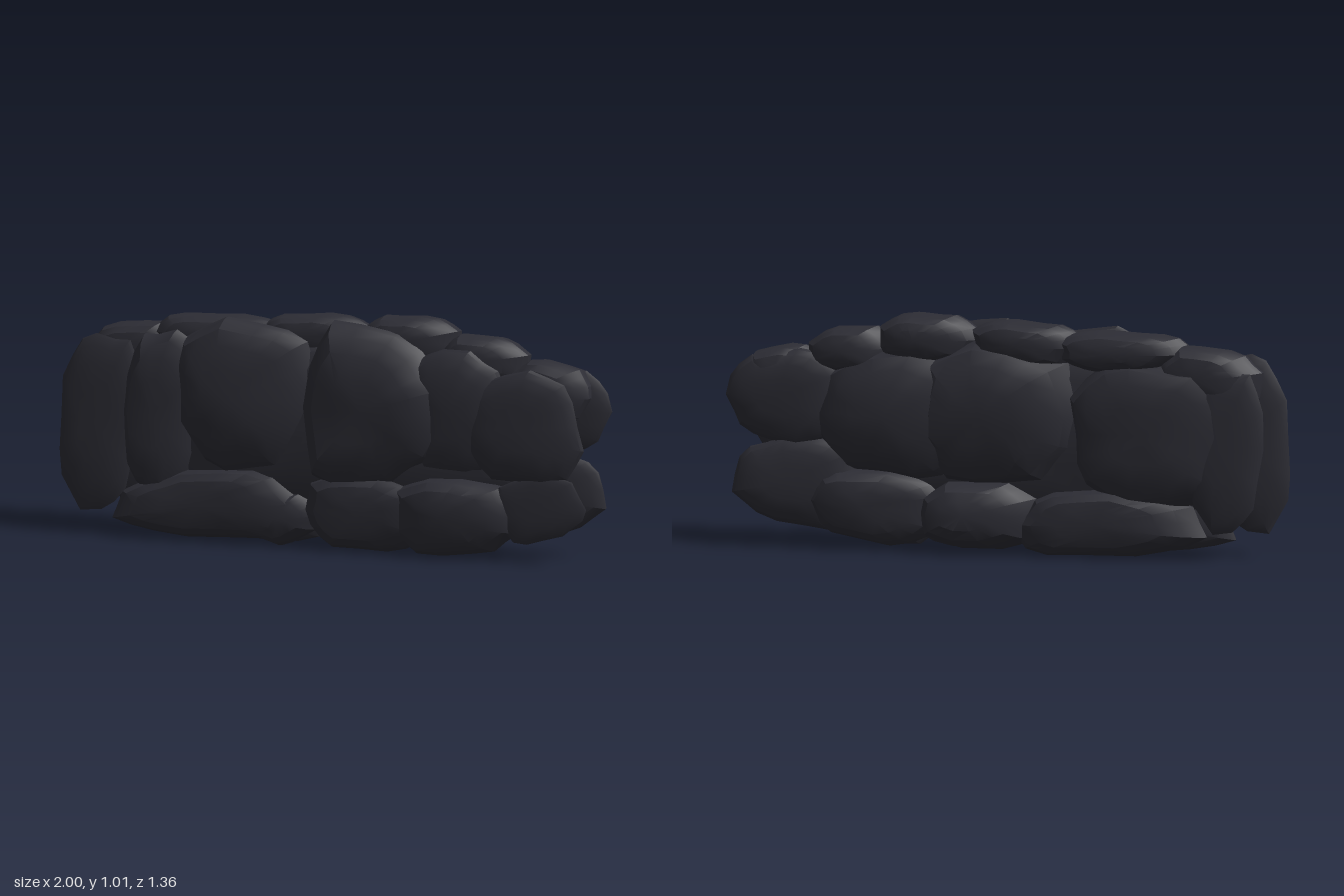
import * as THREE from 'three';
import { toCreasedNormals } from 'three/addons/utils/BufferGeometryUtils.js';

const SLOPE = -0.59; // the wall runs diagonally: z = SLOPE * x + depth
const SIDES = 18;
const rock = new THREE.MeshStandardMaterial({ color: 0x2d2d35 });
rock.name = 'dark slate';

// Cross-sections of a stone from back to front: [outline scale, share of bulge]
const HALF = [[0, 1], [0.4, 0.97], [0.68, 0.83], [0.87, 0.54], [0.97, 0.2]];
const RINGS = [...HALF.map(([s, h]) => [s, -h]), [1, 0], ...HALF.slice().reverse()];

// Irregular outline point at angle t; slim shrinks the height to the right, narrow the width upwards
function outlinePoint(t, [, , rx, ry, tilt, slim, narrow], seed) {
  const c = Math.cos(t), s = Math.sin(t);
  const u = Math.sign(c) * Math.abs(c) ** 0.78, v = Math.sign(s) * Math.abs(s) ** 0.78;
  const wobble = 1 + 0.035 * Math.sin(3 * t + seed) + 0.04 * Math.sin(7 * t + 2 * seed);
  const x = rx * u * wobble * (1 - narrow * v), y = ry * v * wobble * (1 - slim * u);
  return [x * Math.cos(tilt) - y * Math.sin(tilt), x * Math.sin(tilt) + y * Math.cos(tilt)];
}

// A flat stone with the depth of its rim and its bulge to front and back
function stone(name, shape, rim, front, back) {
  const [cx, cy] = shape;
  const seed = cx * 17 + cy * 29;
  const pos = [], index = [];
  RINGS.forEach(([scale, h], k) => {
    for (let j = 0; j < SIDES; j++) {
      const [px, py] = outlinePoint(j / SIDES * Math.PI * 2, shape, seed);
      const x = cx + px * scale, y = Math.max(0, cy + py * scale);
      // uneven, chipped surface
      const chip = 1 + 0.12 * Math.sin(9 * x + 6 * y + seed) * Math.cos(8 * y - 5 * x);
      pos.push(x, y, SLOPE * x + rim + h * (h > 0 ? front : back) * chip);
      if (k === RINGS.length - 1) continue;
      const a = k * SIDES + j, b = k * SIDES + (j + 1) % SIDES;
      const c = b + SIDES, d = a + SIDES;
      if (k > 0) index.push(a, b, c);
      if (k < RINGS.length - 2) index.push(a, c, d);
    }
  });
  const geo = new THREE.BufferGeometry();
  geo.setAttribute('position', new THREE.Float32BufferAttribute(pos, 3));
  geo.setIndex(index);
  const mesh = new THREE.Mesh(toCreasedNormals(geo, 0.4), rock);
  mesh.name = name;
  return mesh;
}

// Stones of each layer: x, y, half width, half height, tilt, slim, narrow, extra bulge
const FRONT = {
  frontCentreLeft: [-0.29, 0.64, 0.26, 0.33, 0, -0.05, -0.08, 0],
  frontCentreRight: [0.21, 0.62, 0.28, 0.345, 0, 0.25, 0, 0],
  frontLeftStrip: [-0.6, 0.55, 0.14, 0.36, -0.05, 0, 0, -0.01],
  frontFarLeft: [-0.83, 0.5, 0.15, 0.38, -0.08, -0.05, 0, 0],
  frontBottomLeft: [-0.42, 0.17, 0.36, 0.15, 0.08, -0.15, 0.1, 0],
  frontBottomWedge: [-0.14, 0.13, 0.13, 0.1, 0.5, 0, 0, -0.04],
  frontBottomCentre: [0.18, 0.18, 0.25, 0.17, 0, 0, -0.1, -0.02],
  frontBottomRight: [0.5, 0.19, 0.24, 0.17, 0.08, 0, 0, 0.01],
  frontRight: [0.77, 0.59, 0.22, 0.24, 0.1, 0, 0.1, 0.005],
  frontUpperRight: [0.51, 0.63, 0.19, 0.27, 0, 0, 0, -0.03],
  frontFarRight: [0.83, 0.25, 0.17, 0.14, 0.4, 0, 0, -0.01],
};
const BACK = {
  backCentreLeft: [0.36, 0.59, 0.31, 0.28, 0, 0.15, 0, 0],
  backCentreRight: [0, 0.6, 0.3, 0.31, 0, 0, 0, 0],
  backRight: [-0.58, 0.54, 0.31, 0.32, 0, 0, 0, 0],
  backFarLeft: [0.77, 0.65, 0.21, 0.2, 0, 0.1, 0, 0],
  backLowerLeft: [0.73, 0.29, 0.23, 0.19, 0.1, 0.1, 0, 0],
  backBottomLeft: [0.45, 0.2, 0.25, 0.16, 0.1, 0, 0, 0],
  backBottomCentre: [0.06, 0.18, 0.22, 0.15, 0, 0, 0.15, 0.01],
  backBottomRight: [-0.4, 0.155, 0.34, 0.145, -0.05, 0, 0.1, 0],
  backFarRight: [-0.85, 0.49, 0.135, 0.35, 0.03, 0, 0, 0],
};
const TOP = {
  topRightDome: [0.27, 0.91, 0.18, 0.11, 0, 0, 0.1],
  topRight: [0.55, 0.85, 0.16, 0.1, -0.1, 0, 0],
  topFarRight: [0.79, 0.74, 0.15, 0.12, -0.2, 0, 0],
  topCentre: [-0.09, 0.9, 0.2, 0.1, 0.05, 0, 0],
  topLeft: [-0.44, 0.88, 0.24, 0.09, 0, 0, -0.05],
  topFarLeft: [-0.76, 0.78, 0.19, 0.13, 0.15, 0, 0],
};

export function createModel() {
  const group = new THREE.Group();
  group.name = 'rockWall';
  group.add(stone('core', [0, 0.5, 0.84, 0.4, 0, 0, 0], 0, 0.1, 0.1));

  // Each layer spreads apart towards both ends, while the wall thins out to its edges
  const rim = x => 0.05 + 0.05 * x * x;
  const inner = x => 0.06 - 0.03 * x * x;
  const bulge = (depth, x, y) => depth - 0.085 * x * x - 0.07 * (y - 0.5) ** 2 - rim(x);
  for (const [name, s] of Object.entries(FRONT))
    group.add(stone(name, s, rim(s[0]), bulge(0.178, s[0], s[1]) + s[7], inner(s[0])));
  for (const [name, s] of Object.entries(BACK))
    group.add(stone(name, s, -rim(s[0]) * 1.15, inner(s[0]), bulge(0.188, s[0], s[1]) + s[7]));
  for (const [name, s] of Object.entries(TOP))
    group.add(stone(name, s, -0.04, 0.09, 0.1));
  return group;
}
